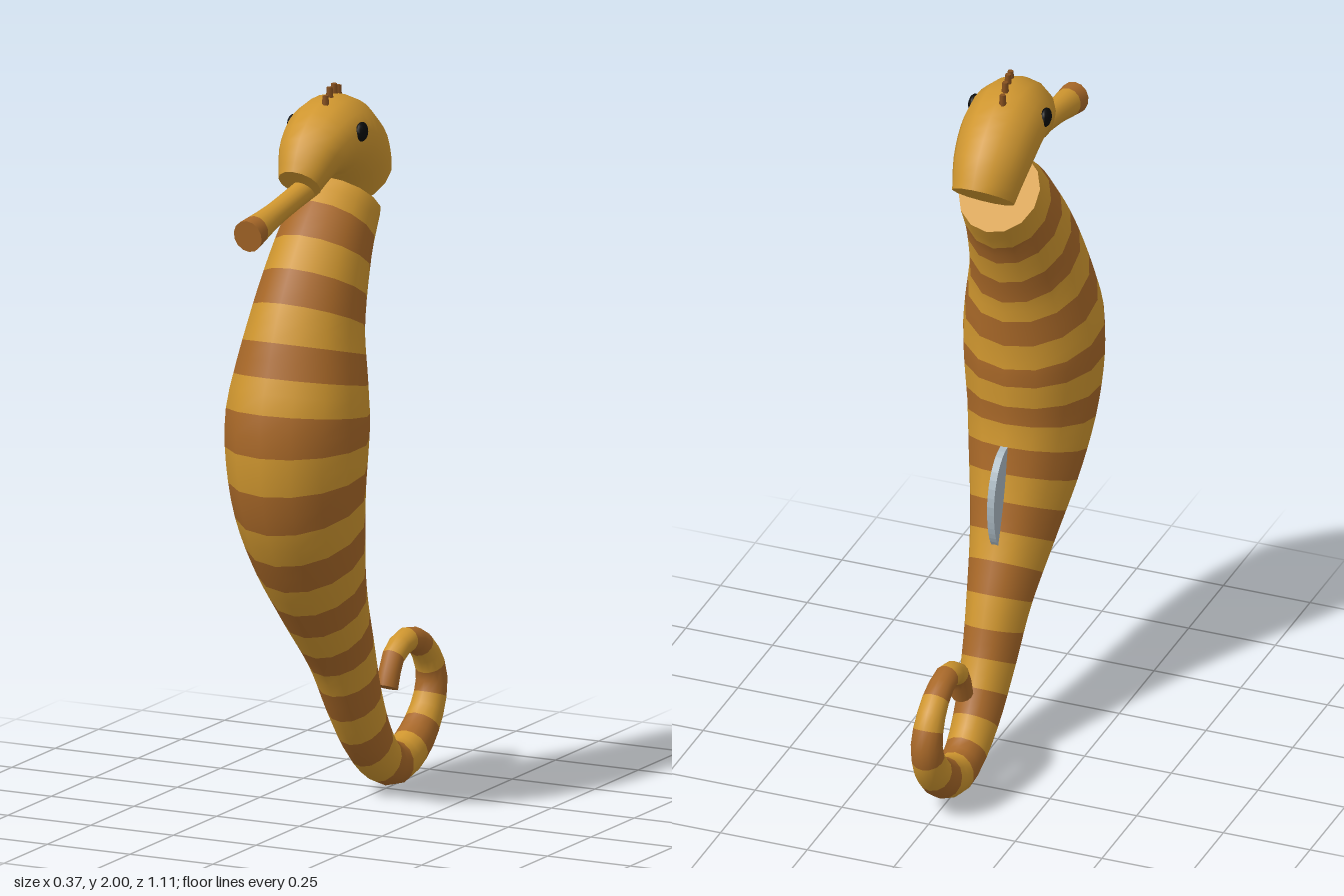
import * as THREE from 'three';

const material = (name, color) => {
  const m = new THREE.MeshStandardMaterial({ color });
  m.name = name;
  return m;
};
const amber = material('amber skin', 0xcf962f);
const brown = material('brown band', 0xa86828);
const darkBrown = material('dark brown crest', 0x85501f);
const black = material('black eye', 0x0a0a0a);
const grey = material('grey fin', 0xa9b7c0);

const SIDES = 14;

// Sweeps an ellipse along a curve in the x = 0 plane.
// stations: [z, y, radius in plane, radius in x]; bandOf(segment) gives 0 = amber, 1 = brown.
function sweep(name, stations, segments, bandOf) {
  const path = new THREE.CatmullRomCurve3(stations.map(([z, y]) => new THREE.Vector3(0, y, z)));
  path.arcLengthDivisions = 800;
  const radii = new THREE.CatmullRomCurve3(
    stations.map(([, , r, rx]) => new THREE.Vector3(r, rx, 0)), false, 'catmullrom', 0.5);
  const pos = [], index = [];
  const geo = new THREE.BufferGeometry();

  const addRing = (t) => {
    const c = path.getPoint(t), d = path.getTangent(t), r = radii.getPoint(t);
    const start = pos.length / 3;
    for (let j = 0; j < SIDES; j++) {
      const a = (j / SIDES) * Math.PI * 2;
      const k = Math.cos(a) * r.x;
      pos.push(Math.sin(a) * r.y, c.y - d.z * k, c.z + d.y * k);
    }
    return start;
  };

  // skin
  for (let i = 0; i <= segments; i++) addRing(path.getUtoTmapping(i / segments));
  for (let i = 0; i < segments; i++) {
    geo.addGroup(index.length, SIDES * 6, bandOf(i));
    for (let j = 0; j < SIDES; j++) {
      const k = (j + 1) % SIDES;
      const a = i * SIDES + j, b = i * SIDES + k, c = b + SIDES, d = a + SIDES;
      index.push(a, b, c, a, c, d);
    }
  }

  // flat end caps
  for (const t of [0, 1]) {
    const ring = addRing(t), c = path.getPoint(t), centre = pos.length / 3;
    pos.push(c.x, c.y, c.z);
    geo.addGroup(index.length, SIDES * 3, bandOf(t ? segments - 1 : 0));
    for (let j = 0; j < SIDES; j++) {
      const a = ring + j, b = ring + (j + 1) % SIDES;
      index.push(centre, t ? a : b, t ? b : a);
    }
  }

  geo.setAttribute('position', new THREE.Float32BufferAttribute(pos, 3));
  geo.setIndex(index);
  geo.computeVertexNormals();
  const mesh = new THREE.Mesh(geo, [amber, brown]);
  mesh.name = name;
  return mesh;
}

export function createModel() {
  const model = new THREE.Group();
  model.name = 'seahorse';

  // Banded body, running from the neck down into the curled tail
  model.add(sweep('bodyAndTail', [
    [0.01, 1.68, 0.121, 0.112], [0.105, 1.565, 0.146, 0.128], [0.20, 1.38, 0.18, 0.15],
    [0.244, 1.217, 0.205, 0.18], [0.262, 1.107, 0.22, 0.19], [0.252, 0.93, 0.207, 0.177],
    [0.196, 0.76, 0.175, 0.152], [0.114, 0.598, 0.137, 0.118], [0.01, 0.43, 0.105, 0.088],
    [-0.066, 0.28, 0.088, 0.073], [-0.148, 0.156, 0.077, 0.063], [-0.233, 0.082, 0.064, 0.057],
    [-0.313, 0.061, 0.06, 0.054], [-0.42, 0.104, 0.055, 0.051], [-0.495, 0.185, 0.047, 0.046],
    [-0.513, 0.257, 0.043, 0.043], [-0.482, 0.323, 0.038, 0.039], [-0.43, 0.368, 0.035, 0.036],
    [-0.362, 0.384, 0.034, 0.034], [-0.29, 0.352, 0.031, 0.031], [-0.257, 0.276, 0.03, 0.03],
  ], 60, (i) => Math.floor(i / 2) % 2));

  // Arched head
  model.add(sweep('head', [
    [-0.105, 1.722, 0.101, 0.085], [-0.04, 1.805, 0.112, 0.104], [0.06, 1.863, 0.113, 0.11],
    [0.17, 1.845, 0.09, 0.095], [0.25, 1.768, 0.056, 0.06],
  ], 16, () => 0));

  // Snout with a flared brown mouth
  model.add(sweep('snout', [
    [0.18, 1.752, 0.034, 0.031], [0.30, 1.731, 0.032, 0.031], [0.42, 1.709, 0.034, 0.032],
    [0.548, 1.685, 0.045, 0.042],
  ], 8, (i) => (i === 7 ? 1 : 0)));

  // Eyes
  for (const side of [1, -1]) {
    const eye = new THREE.Mesh(new THREE.SphereGeometry(1, 12, 8), black);
    eye.name = side > 0 ? 'leftEye' : 'rightEye';
    eye.scale.set(0.015, 0.027, 0.026);
    eye.position.set(side * 0.103, 1.888, 0.087);
    model.add(eye);
  }

  // Row of small crest spikes
  [[-0.015, 1.986, -0.003], [-0.005, 2.0, 0.04], [0.004, 2.0, 0.083], [0.014, 1.986, 0.126]]
    .forEach(([x, top, z], i) => {
      const spike = new THREE.Mesh(new THREE.CylinderGeometry(0.008, 0.012, 0.06, 6), darkBrown);
      spike.name = 'crestSpike' + (i + 1);
      spike.position.set(x, top - 0.03, z);
      model.add(spike);
    });

  // Thin back fin, drawn in the side plane (shape x = -z)
  const outline = new THREE.Shape();
  outline.moveTo(-0.07, 0.877);
  outline.lineTo(-0.045, 0.876);
  outline.bezierCurveTo(0.01, 0.87, 0.048, 0.81, 0.054, 0.74);
  outline.bezierCurveTo(0.054, 0.67, 0.04, 0.625, 0.015, 0.6);
  outline.lineTo(-0.07, 0.65);
  outline.closePath();
  const finGeo = new THREE.ExtrudeGeometry(outline, { depth: 0.02, bevelEnabled: false, curveSegments: 8 });
  finGeo.translate(0, 0, -0.01);
  finGeo.rotateY(Math.PI / 2);
  const fin = new THREE.Mesh(finGeo, grey);
  fin.name = 'backFin';
  model.add(fin);

  return model;
}
